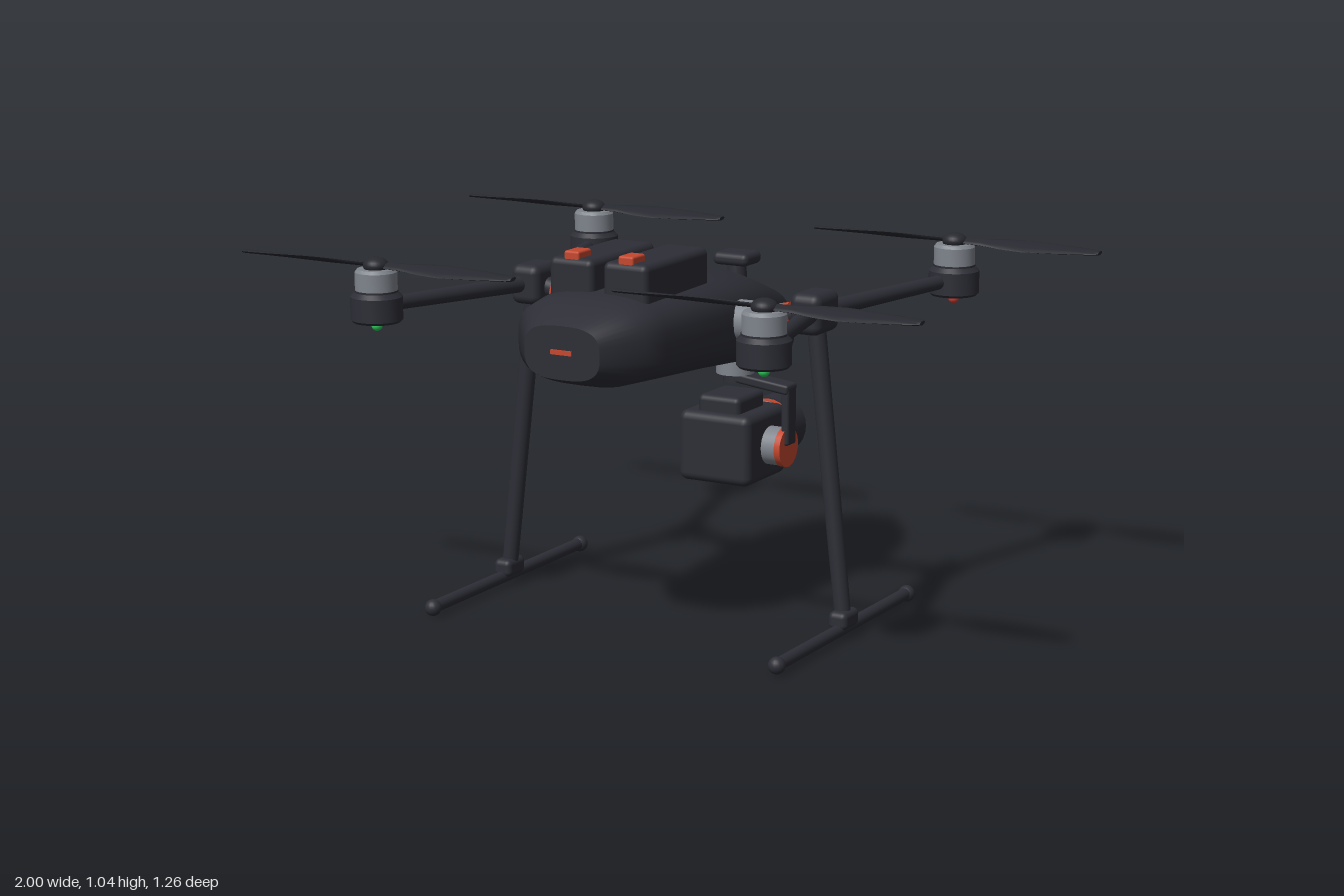
import * as THREE from 'three';
import { toCreasedNormals } from 'three/addons/utils/BufferGeometryUtils.js';
import { RoundedBoxGeometry } from 'three/addons/geometries/RoundedBoxGeometry.js';

const material = (name, color) => {
  const m = new THREE.MeshStandardMaterial({ color });
  m.name = name;
  return m;
};
const V = (x, y, z) => new THREE.Vector3(x, y, z);

// Closed skin through rings of points ordered along +z, counterclockwise seen from +z
function loft(rings, crease) {
  const n = rings[0].length, pos = [], idx = [];
  rings.forEach(r => r.forEach(p => pos.push(p.x, p.y, p.z)));
  for (let i = 0; i < rings.length - 1; i++) {
    for (let j = 0; j < n; j++) {
      const a = i * n + j, b = i * n + (j + 1) % n;
      idx.push(a, b, b + n, a, b + n, a + n);
    }
  }
  const last = (rings.length - 1) * n;
  for (let j = 1; j < n - 1; j++) idx.push(0, j + 1, j, last, last + j, last + j + 1);
  const g = new THREE.BufferGeometry();
  g.setAttribute('position', new THREE.Float32BufferAttribute(pos, 3));
  g.setIndex(idx);
  return toCreasedNormals(g, crease);
}

export function createModel() {
  const model = new THREE.Group();
  model.name = 'cameraDrone';
  const dark = material('charcoal', 0x2d2e36);
  const black = material('propBlack', 0x282930);
  const grey = material('metalGrey', 0x7f848c);
  const orange = material('accentOrange', 0xc5482f);
  const green = material('lampGreen', 0x2fcc5c);
  const red = material('lampRed', 0xcc3f35);

  const add = (name, geo, mat, x = 0, y = 0, z = 0, parent = model) => {
    const m = new THREE.Mesh(geo, mat);
    m.name = name;
    m.position.set(x, y, z);
    parent.add(m);
    return m;
  };
  const box = (name, mat, size, at, r = 0.015) =>
    add(name, new RoundedBoxGeometry(...size, 3, r), mat, ...at);
  // Cylinder between two points
  const rod = (name, mat, a, b, ra, rb = ra, parent = model) => {
    const d = b.clone().sub(a);
    const m = add(name, new THREE.CylinderGeometry(rb, ra, d.length(), 28), mat, 0, 0, 0, parent);
    m.position.copy(a).add(b).multiplyScalar(0.5);
    m.quaternion.setFromUnitVectors(V(0, 1, 0), d.normalize());
    return m;
  };

  // Fuselage: z, half width, bottom, top
  const sections = [
    [-0.53, 0.09, 0.625, 0.745], [-0.365, 0.165, 0.64, 0.85], [-0.22, 0.205, 0.657, 0.9],
    [-0.13, 0.22, 0.67, 0.93], [0.07, 0.22, 0.688, 0.946], [0.39, 0.203, 0.709, 0.943],
    [0.476, 0.19, 0.714, 0.933], [0.57, 0.112, 0.745, 0.885],
  ];
  const power = (v, e) => Math.sign(v) * Math.abs(v) ** e;
  const hull = sections.map(([z, w, lo, hi]) => Array.from({ length: 40 }, (_, j) => {
    const t = j / 40 * Math.PI * 2;
    return V(w * power(Math.cos(t), 0.68), (lo + hi) / 2 + (hi - lo) / 2 * power(Math.sin(t), 0.68), z);
  }));
  add('fuselage', loft(hull, 0.6), dark);
  add('noseStripe', new THREE.BoxGeometry(0.062, 0.012, 0.008), orange, 0, 0.817, 0.572);

  // Antenna puck on the back
  add('antennaStem', new THREE.CylinderGeometry(0.025, 0.03, 0.09, 20), dark, 0, 0.875, -0.355);
  box('antennaPuck', dark, [0.11, 0.036, 0.095], [0, 0.92, -0.355], 0.016);

  // Propeller blade: radius along the blade, chord, twist
  const blade = loft([
    [0.0, 0.024, 0.45], [0.08, 0.032, 0.42], [0.15, 0.058, 0.36], [0.21, 0.073, 0.3],
    [0.28, 0.07, 0.24], [0.36, 0.056, 0.17], [0.415, 0.042, 0.12], [0.425, 0.028, 0.1],
  ].map(([r, c, twist]) => Array.from({ length: 12 }, (_, j) => {
    const t = j / 12 * Math.PI * 2;
    const x = Math.cos(t) * c / 2, y = Math.sin(t) * 0.005;
    return V(x * Math.cos(twist) - y * Math.sin(twist), x * Math.sin(twist) + y * Math.cos(twist), r);
  })), 0.9);

  // Motor housing profiles
  const lathe = pts => toCreasedNormals(
    new THREE.LatheGeometry(pts.map(p => new THREE.Vector2(...p)), 32), 0.5);
  const baseGeo = lathe([[0, -0.048], [0.062, -0.048], [0.069, -0.041], [0.069, 0.02], [0.058, 0.032], [0, 0.032]]);
  const bellGeo = lathe([[0, 0.03], [0.056, 0.03], [0.056, 0.085], [0.05, 0.093], [0, 0.093]]);
  const lampGeo = new THREE.SphereGeometry(0.015, 16, 10);
  const Z = 0.01;

  for (const s of [1, -1]) {
    const side = s > 0 ? 'left' : 'right';

    // Battery packs with latches
    box(side + 'Battery', dark, [0.132, 0.13, 0.33], [s * 0.081, 0.96, 0.232], 0.018);
    box(side + 'BatteryLatch', orange, [0.045, 0.036, 0.065], [s * 0.081, 1.025, 0.357], 0.006);

    // Shoulder: socket, tube, ring and joint
    const root = V(s * 0.18, 0.815, Z), hub = V(s * 0.43, 0.87, Z);
    const along = t => root.clone().lerp(hub, t);
    rod(side + 'Socket', grey, V(s * 0.17, 0.825, Z), V(s * 0.258, 0.825, Z), 0.056);
    rod(side + 'ShoulderTube', dark, root, hub, 0.027);
    rod(side + 'ShoulderRing', orange, along(0.62), along(0.74), 0.034);
    box(side + 'Joint', dark, [0.09, 0.11, 0.13], [hub.x, hub.y, hub.z], 0.024);

    // Landing leg and skid
    rod(side + 'Leg', dark, V(s * 0.525, 0.045, Z), V(s * 0.435, 0.84, Z), 0.022, 0.025);
    box(side + 'LegFoot', dark, [0.055, 0.05, 0.088], [s * 0.526, 0.05, Z], 0.016);
    rod(side + 'Skid', dark, V(s * 0.528, 0.024, Z - 0.385), V(s * 0.528, 0.024, Z + 0.385), 0.017);

    for (const f of [1, -1]) {
      add(side + 'SkidCap', new THREE.SphereGeometry(0.023, 18, 12), dark, s * 0.528, 0.023, Z + f * 0.382);

      // Rotor arm, motor, lamp and propeller
      const mx = s * 0.575, mz = Z + f * 0.55;
      rod(side + 'RotorArm', dark, hub, V(mx, 0.882, mz), 0.023, 0.019);
      const rotor = new THREE.Group();
      rotor.name = side + (f > 0 ? 'FrontRotor' : 'RearRotor');
      rotor.position.set(mx, 0.887, mz);
      model.add(rotor);
      add('motorBase', baseGeo, dark, 0, 0, 0, rotor);
      add('motorBell', bellGeo, grey, 0, 0, 0, rotor);
      add('motorBand', new THREE.CylinderGeometry(0.0575, 0.0575, 0.006, 32), dark, 0, 0.034, 0, rotor);
      add('lamp', lampGeo, f > 0 ? green : red, 0, -0.058, 0, rotor);
      const spinner = add('spinner', new THREE.SphereGeometry(0.034, 24, 14), black, 0, 0.102, 0, rotor);
      spinner.scale.y = 0.65;
      for (const k of [1, -1]) {
        add('blade', blade, black, 0, 0.103, 0, rotor).rotation.y = k * Math.PI / 2;
      }
    }
  }

  // Gimbal hanging under the tail
  const gz = -0.348;
  rod('gimbalMount', grey, V(0, 0.595, gz), V(0, 0.68, gz), 0.054);
  rod('gimbalYawDisc', dark, V(0, 0.572, gz), V(0, 0.597, gz), 0.034);
  const cross = box('gimbalCrossArm', dark, [0.185, 0.028, 0.06], [0.088, 0.577, gz], 0.008);
  cross.rotation.z = -0.12;
  box('gimbalSideArm', dark, [0.024, 0.17, 0.052], [0.169, 0.493, gz], 0.008);
  rod('gimbalTiltMotor', grey, V(0.1, 0.4, gz), V(0.152, 0.4, gz), 0.054);
  rod('gimbalTiltCap', orange, V(0.152, 0.4, gz), V(0.17, 0.4, gz), 0.056);

  // Camera with lens facing the tail
  box('cameraBody', dark, [0.225, 0.2, 0.232], [-0.002, 0.4, -0.337], 0.024);
  box('cameraLid', dark, [0.132, 0.07, 0.155], [0, 0.51, -0.325], 0.016);
  const lens = (name, mat, z0, z1, r0, r1) => rod(name, mat, V(0, 0.398, z0), V(0, 0.398, z1), r0, r1);
  lens('lensNeck', dark, -0.44, -0.485, 0.081);
  lens('lensBarrel', grey, -0.485, -0.527, 0.081);
  lens('lensRing', orange, -0.527, -0.548, 0.083);
  lens('lensHood', dark, -0.548, -0.612, 0.087);
  lens('lensHoodLip', dark, -0.612, -0.628, 0.087, 0.074);

  return model;
}
